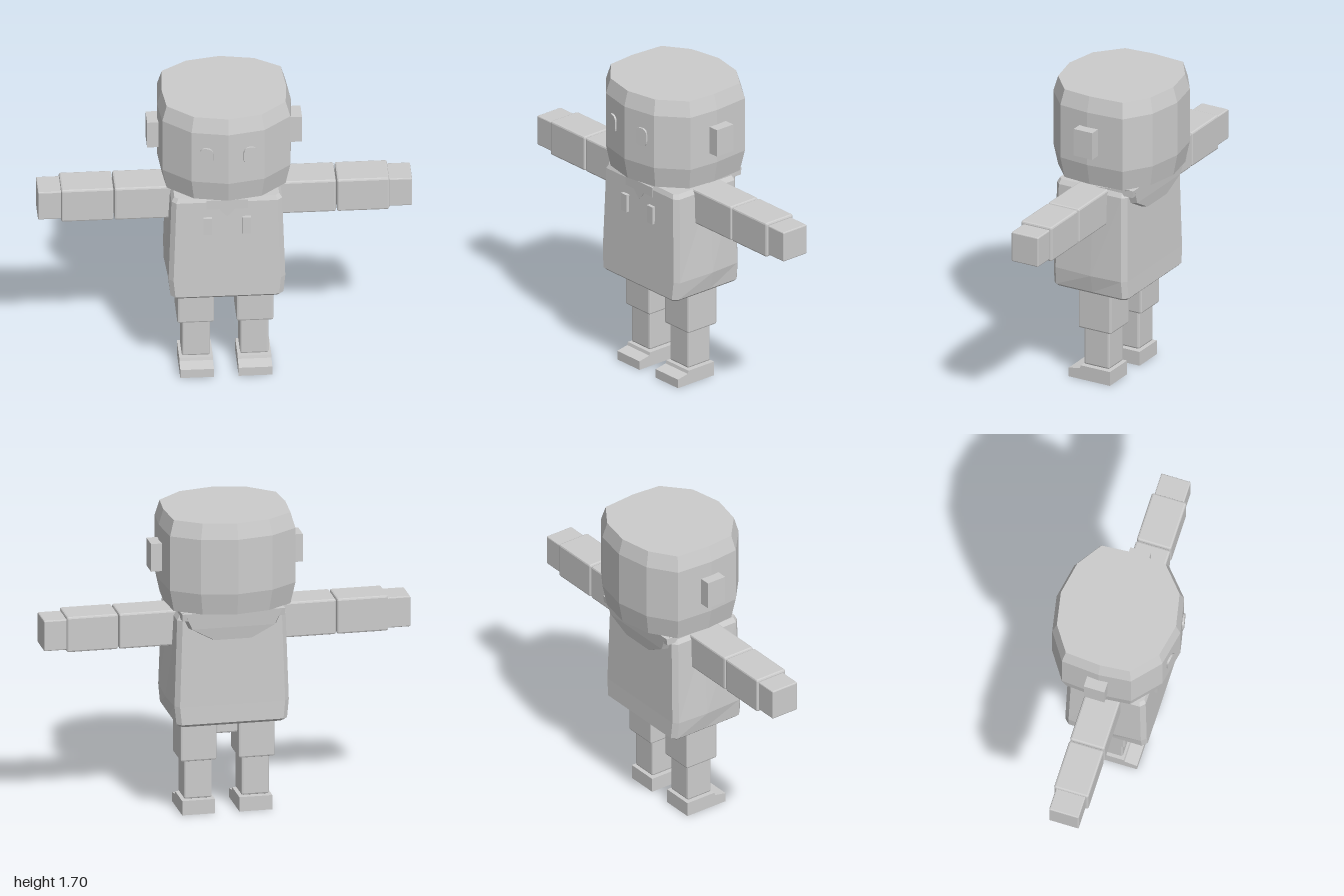
import * as THREE from 'three';
import { RoundedBoxGeometry } from 'three/addons/geometries/RoundedBoxGeometry.js';

const grey = new THREE.MeshStandardMaterial({ color: 0xcccccc });
grey.name = 'plain grey';

// Flat facets
function faceted(geo) {
  const g = geo.index ? geo.toNonIndexed() : geo;
  g.computeVertexNormals();
  return g;
}

// Closed solid through rings of [x, y, z], bottom to top, anticlockwise from above
function loft(rings) {
  const n = rings[0].length, idx = [];
  rings.slice(1).forEach((_, r) => {
    for (let i = 0; i < n; i++) {
      const a = r * n + i, b = r * n + (i + 1) % n;
      idx.push(a, b, b + n, a, b + n, a + n);
    }
  });
  const top = (rings.length - 1) * n;
  for (let i = 1; i < n - 1; i++) idx.push(0, i + 1, i, top, top + i, top + i + 1);
  const g = new THREE.BufferGeometry();
  g.setAttribute('position', new THREE.Float32BufferAttribute(rings.flat(2), 3));
  g.setIndex(idx);
  return faceted(g);
}

function shapeOf(points) {
  return new THREE.Shape(points.map(([x, y]) => new THREE.Vector2(x, y)));
}

// (z, y) profile extruded across a width along x
function sideProfile(points, width) {
  const g = new THREE.ExtrudeGeometry(shapeOf(points), { depth: width, bevelEnabled: false });
  return g.translate(0, 0, -width / 2).rotateY(-Math.PI / 2);
}

// Box given by its limits, with small chamfers when r > 0
function block(x0, x1, y0, y1, z0, z1, r = 0.01) {
  const size = [x1 - x0, y1 - y0, z1 - z0];
  const g = r ? faceted(new RoundedBoxGeometry(...size, 1, r)) : new THREE.BoxGeometry(...size);
  return g.translate((x0 + x1) / 2, (y0 + y1) / 2, (z0 + z1) / 2);
}

export function createModel() {
  const model = new THREE.Group();
  model.name = 'figure';
  const add = (name, geo, parent = model) => {
    const mesh = new THREE.Mesh(geo, grey);
    mesh.name = name;
    parent.add(mesh);
    return mesh;
  };

  // Twelve-sided head, tapered at crown and jaw
  const half = [[0, 0.345], [0.195, 0.305], [0.342, 0.175], [0.358, 0], [0.342, -0.21], [0.195, -0.31], [0, -0.347]];
  const outline = [...half, ...half.slice(1, -1).reverse().map(([x, z]) => [-x, z])];
  add('head', loft([[1.19, 0.93], [1.31, 1], [1.615, 1], [1.7, 0.93]].map(([y, s]) =>
    outline.map(([x, z]) => [x * s, y, z * s]))));

  // Torso, flaring towards the hem, with chamfered corners
  const torsoRing = (y, w, mid, zf, zb, c) => [
    [w - c, y, zf], [w, y, zf - c], [mid, y, 0], [w, y, zb + c], [w - c, y, zb],
    [-w + c, y, zb], [-w, y, zb + c], [-mid, y, 0], [-w, y, zf - c], [-w + c, y, zf]];
  add('torso', loft([
    torsoRing(0.535, 0.285, 0.285, 0.235, -0.195, 0.02),
    torsoRing(0.55, 0.302, 0.302, 0.25, -0.21, 0.025),
    torsoRing(0.65, 0.312, 0.322, 0.247, -0.207, 0.025),
    torsoRing(1.13, 0.296, 0.296, 0.236, -0.2, 0.025),
    torsoRing(1.155, 0.28, 0.28, 0.225, -0.19, 0.02)]));

  // Collar: sloped yoke on the shoulders and a flap down the back
  add('collarYoke', sideProfile(
    [[0.01, 1.14], [0.01, 1.156], [-0.2, 1.178], [-0.24, 1.18], [-0.235, 1.14]].reverse(), 0.56));
  const flapRing = (y, w, zb) => [[w, y, -0.19], [w - 0.02, y, zb], [-w + 0.02, y, zb], [-w, y, -0.19]];
  add('collarFlap', loft([
    flapRing(1.02, 0.12, -0.222), flapRing(1.09, 0.245, -0.232), flapRing(1.18, 0.285, -0.24)]));

  // Notched neckline on the chest
  add('neckline', new THREE.ExtrudeGeometry(shapeOf([
    [-0.11, 1.145], [-0.11, 1.09], [-0.04, 1.09], [-0.025, 1.07], [0, 1.045],
    [0.025, 1.07], [0.04, 1.09], [0.11, 1.09], [0.11, 1.145]]),
  { depth: 0.009, bevelEnabled: false }).translate(0, 0, 0.233));

  add('pelvis', block(-0.06, 0.06, 0.44, 0.545, -0.06, 0.09, 0.01));

  // Oval eye outline with softened corners
  const eye = new THREE.Shape();
  eye.moveTo(-0.036, -0.02);
  eye.quadraticCurveTo(-0.036, -0.053, 0, -0.053);
  eye.quadraticCurveTo(0.036, -0.053, 0.036, -0.02);
  eye.lineTo(0.036, 0.02);
  eye.quadraticCurveTo(0.036, 0.053, 0, 0.053);
  eye.quadraticCurveTo(-0.036, 0.053, -0.036, 0.02);
  const eyeGeo = new THREE.ExtrudeGeometry(eye, { depth: 0.025, bevelEnabled: false, curveSegments: 4 });

  // Paired parts
  for (const [side, s] of [['left', 1], ['right', -1]]) {
    const pair = (name, x0, x1, ...rest) =>
      add(side + name, block(Math.min(s * x0, s * x1), Math.max(s * x0, s * x1), ...rest));

    const eyeMesh = add(side + 'Eye', eyeGeo);
    eyeMesh.position.set(s * 0.113, 1.473, 0.307);
    eyeMesh.rotation.y = s * 0.2;

    pair('Ear', 0.33, 0.414, 1.375, 1.53, -0.065, 0.05, 0);
    pair('Drawstring', 0.082, 0.127, 0.94, 1.04, 0.225, 0.257, 0);

    pair('UpperArm', 0.25, 0.592, 0.96, 1.157, -0.087, 0.105);
    pair('Forearm', 0.597, 0.877, 0.96, 1.157, -0.087, 0.105);
    pair('Hand', 0.87, 1, 0.972, 1.142, -0.075, 0.09, 0.006);

    pair('Thigh', 0.06, 0.257, 0.302, 0.545, -0.087, 0.115);
    pair('Shin', 0.08, 0.232, 0.085, 0.31, -0.062, 0.095);

    // Shoe with a low sloping toe
    const foot = add(side + 'Foot', sideProfile([
      [-0.075, 0], [0.18, 0], [0.18, 0.05], [0.11, 0.063], [0.105, 0.08], [-0.075, 0.08]], 0.18));
    foot.position.x = s * 0.156;
  }
  return model;
}
